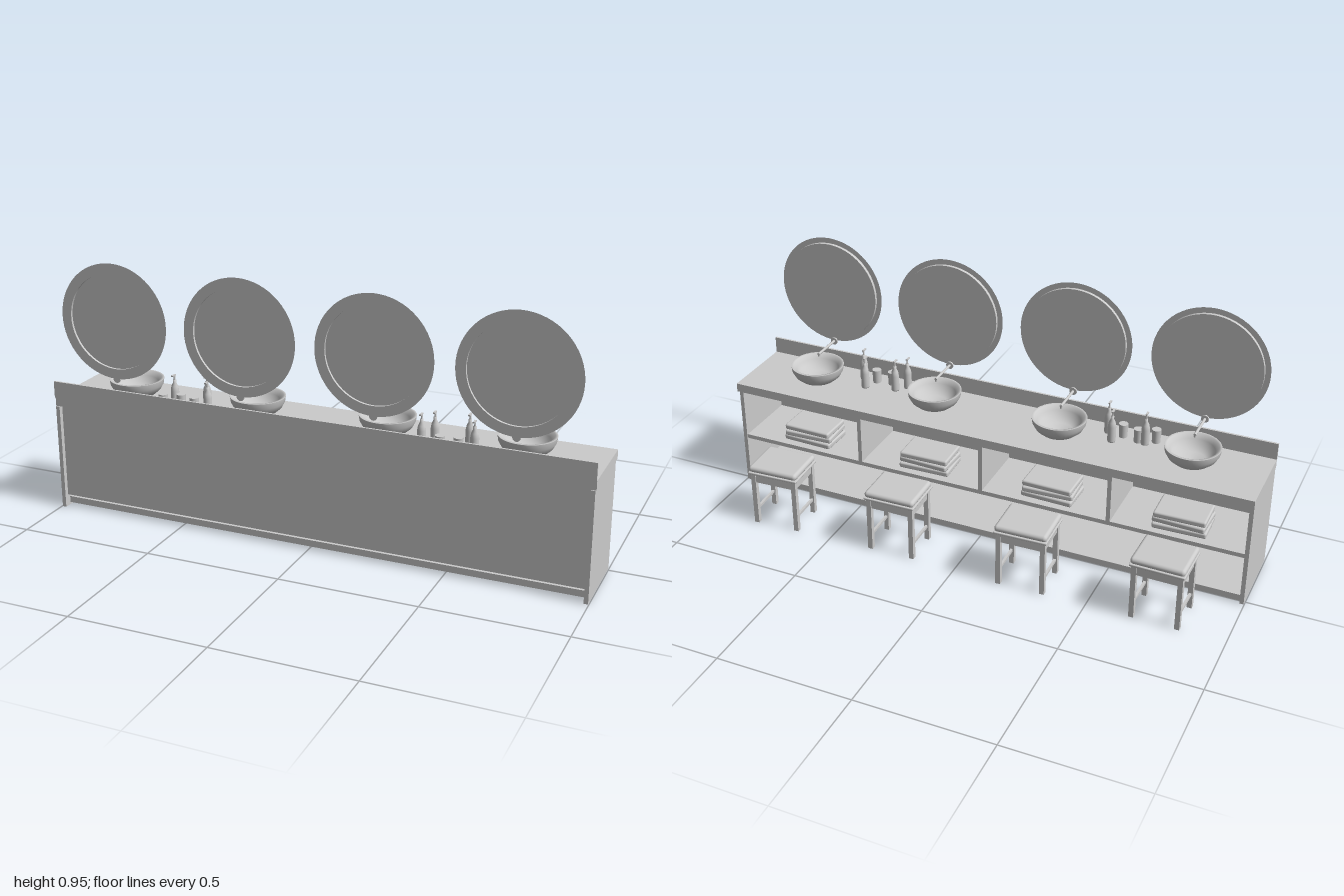
import * as THREE from 'three';
import { RoundedBoxGeometry } from 'three/addons/geometries/RoundedBoxGeometry.js';

const grey = new THREE.MeshStandardMaterial({ color: 0xcccccc });
const greyOpen = new THREE.MeshStandardMaterial({ color: 0xcccccc, side: THREE.DoubleSide });

function add(parent, name, geometry, x = 0, y = 0, z = 0, material = grey) {
  const mesh = new THREE.Mesh(geometry, material);
  mesh.name = name;
  mesh.position.set(x, y, z);
  parent.add(mesh);
  return mesh;
}

// Box given by its limits on each axis
function slab(parent, name, x0, x1, y0, y1, z0, z1) {
  return add(parent, name, new THREE.BoxGeometry(x1 - x0, y1 - y0, z1 - z0),
    (x0 + x1) / 2, (y0 + y1) / 2, (z0 + z1) / 2);
}

function lathe(points, segments = 24) {
  return new THREE.LatheGeometry(points.map(([r, y]) => new THREE.Vector2(r, y)), segments);
}

function group(parent, name, x, y, z, turn = 0) {
  const g = new THREE.Group();
  g.name = name;
  g.position.set(x, y, z);
  g.rotation.y = turn;
  parent.add(g);
  return g;
}

function addCabinet(root) {
  const g = group(root, 'cabinet', 0, 0, 0);
  slab(g, 'countertop', -1, 1, 0.397, 0.43, -0.027, 0.266);
  slab(g, 'backsplash', -1, 1, 0.43, 0.492, 0.263, 0.271);
  for (const s of [-1, 1]) slab(g, 'endPanel', s * 0.99 - 0.0075, s * 0.99 + 0.0075, 0, 0.397, -0.015, 0.271);
  slab(g, 'wallPanel', -0.983, 0.983, 0.044, 0.397, 0.242, 0.254);
  slab(g, 'bottomBoard', -0.983, 0.983, 0.008, 0.032, -0.01, 0.242);
  slab(g, 'middleShelf', -0.983, 0.983, 0.187, 0.203, -0.01, 0.242);
  for (const x of [-0.49, 0, 0.49]) slab(g, 'divider', x - 0.0075, x + 0.0075, 0.203, 0.397, -0.01, 0.242);
}

function addTowels(root, x, i) {
  const g = group(root, 'towelStack', x, 0.203, 0.08);
  [0.03, -0.04, 0.02].forEach((turn, k) => {
    const towel = add(g, 'towel', new RoundedBoxGeometry(0.196 - k * 0.004, 0.022, 0.13, 2, 0.007), 0, 0.011 + k * 0.0225, 0);
    towel.rotation.y = turn * (i % 2 ? -1 : 1);
  });
}

function addBasin(root, x) {
  // Bowl: outside wall, flat rim, then inside wall and floor
  add(root, 'basin', lathe([[0, 0], [0.045, 0], [0.065, 0.009], [0.085, 0.026], [0.096, 0.046], [0.099, 0.066],
    [0.099, 0.067], [0.09, 0.067], [0.078, 0.05], [0.07, 0.033], [0.048, 0.014], [0, 0.01]], 40), x, 0.43, 0.127, greyOpen);

  // Wall spout with a short outlet
  const f = group(root, 'faucet', x, 0.533, 0);
  const spout = add(f, 'spout', new THREE.CylinderGeometry(0.005, 0.005, 0.125, 16), 0, 0, 0.2005);
  spout.rotation.x = Math.PI / 2;
  add(f, 'outlet', new THREE.CylinderGeometry(0.0045, 0.0045, 0.012, 16), 0, -0.004, 0.142);
  const plate = add(f, 'wallPlate', new THREE.CylinderGeometry(0.014, 0.014, 0.006, 24), 0, 0, 0.26);
  plate.rotation.x = Math.PI / 2;
}

function addMirror(root, x) {
  const g = group(root, 'mirror', x, 0.745, 0);
  // Shallow tray open towards the wall
  const disc = add(g, 'mirrorDisc', new THREE.CylinderGeometry(0.19, 0.19, 0.003, 64), 0, 0, 0.2545);
  disc.rotation.x = Math.PI / 2;
  for (const r of [0.174, 0.19]) {
    const wall = add(g, 'mirrorEdge', new THREE.CylinderGeometry(r, r, 0.011, 64, 1, true), 0, 0, 0.2595, greyOpen);
    wall.rotation.x = Math.PI / 2;
  }
  add(g, 'mirrorFlange', new THREE.RingGeometry(0.174, 0.21, 64), 0, 0, 0.265, greyOpen);
}

function addStool(root, x, z, turn) {
  const g = group(root, 'stool', x, 0, z, turn);
  for (const sx of [-1, 1]) {
    for (const sz of [-1, 1]) add(g, 'leg', new THREE.BoxGeometry(0.018, 0.213, 0.018), sx * 0.082, 0.1065, sz * 0.067);
    add(g, 'sideApron', new THREE.BoxGeometry(0.01, 0.036, 0.12), sx * 0.082, 0.194, 0);
    add(g, 'sideStretcher', new THREE.BoxGeometry(0.009, 0.01, 0.12), sx * 0.082, 0.057, 0);
    add(g, 'crossApron', new THREE.BoxGeometry(0.15, 0.036, 0.01), 0, 0.194, sx * 0.067);
  }
  add(g, 'seatBoard', new RoundedBoxGeometry(0.196, 0.009, 0.167, 2, 0.003), 0, 0.2165, 0);
  add(g, 'cushion', new RoundedBoxGeometry(0.193, 0.025, 0.165, 4, 0.012), 0, 0.2325, 0);
}

function addBottle(root, x, z) {
  const g = group(root, 'pumpBottle', x, 0.43, z);
  add(g, 'bottle', lathe([[0, 0], [0.014, 0], [0.015, 0.004], [0.015, 0.06], [0.012, 0.077],
    [0.006, 0.09], [0.006, 0.1], [0, 0.1]]));
  add(g, 'pumpStem', new THREE.CylinderGeometry(0.003, 0.003, 0.02, 12), 0, 0.108, 0);
  add(g, 'pumpHead', new THREE.BoxGeometry(0.007, 0.005, 0.022), 0, 0.118, 0.006);
}

export function createModel() {
  const root = new THREE.Group();
  root.name = 'vanityUnit';
  addCabinet(root);

  [-0.737, -0.247, 0.243, 0.733].forEach((x, i) => {
    addBasin(root, x);
    addMirror(root, x);
    addTowels(root, x, i);
  });

  [[-0.748, -0.166, -0.02], [-0.255, -0.172, 0.03], [0.253, -0.165, 0.02], [0.724, -0.183, 0.05]]
    .forEach(([x, z, turn]) => addStool(root, x, z, turn));

  // Toiletries between the outer pairs of basins
  [[-0.55, 0.18], [-0.436, 0.15], [-0.405, 0.205], [0.395, 0.21], [0.43, 0.175], [0.543, 0.15], [0.578, 0.208]]
    .forEach(([x, z]) => addBottle(root, x, z));
  [[-0.582, 0.208], [-0.523, 0.185], [-0.463, 0.198], [0.46, 0.211], [0.522, 0.204]]
    .forEach(([x, z]) => add(root, 'jar', new THREE.CylinderGeometry(0.017, 0.015, 0.052, 24), x, 0.456, z));
  return root;
}
